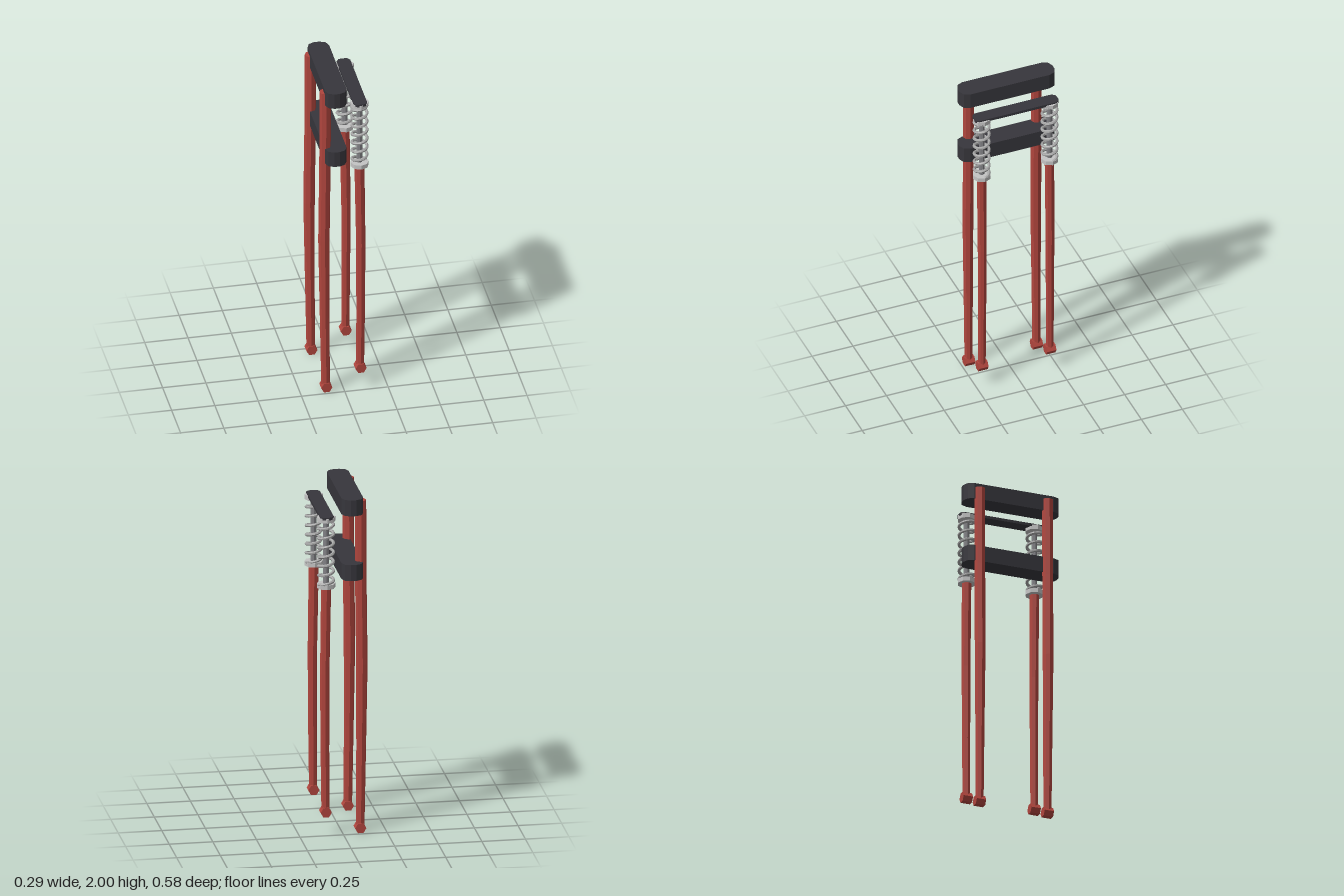
import * as THREE from 'three';

const mat = (name, color) => {
  const m = new THREE.MeshStandardMaterial({ color, flatShading: true });
  m.name = name;
  return m;
};

// Helix that rises along y
class Helix extends THREE.Curve {
  constructor(radius, height, turns) {
    super();
    Object.assign(this, { radius, height, turns });
  }
  getPoint(t, target = new THREE.Vector3()) {
    const a = t * this.turns * Math.PI * 2;
    return target.set(Math.cos(a) * this.radius, t * this.height, -Math.sin(a) * this.radius);
  }
}

export function createModel() {
  const red = mat('red paint', 0xb0453d);
  const dark = mat('dark metal', 0x37363c);
  const silver = mat('silver', 0xc4c4c4);
  const steel = mat('spring steel', 0xa6a6a6);
  const grey = mat('grey rod', 0x828286);
  const model = new THREE.Group();

  const add = (name, geo, material, x, y, z, parent = model) => {
    const mesh = new THREE.Mesh(geo, material);
    mesh.name = name;
    mesh.position.set(x, y, z);
    parent.add(mesh);
    return mesh;
  };

  // Slightly bowed, tapering tube; each station is [x, y, radius]
  const legGeometry = (stations) => {
    const geo = new THREE.CylinderGeometry(1, 1, 1, 8, stations.length - 1);
    const p = geo.attributes.position;
    for (let i = 0; i < p.count; i++) {
      const k = Math.round((p.getY(i) + 0.5) * (stations.length - 1));
      const [x, y, r] = stations[k];
      p.setXYZ(i, x + p.getX(i) * r, y, p.getZ(i) * r);
    }
    geo.computeVertexNormals();
    return geo;
  };

  // Flat bar with chamfered, rounded ends, bottom at y = 0
  const barGeometry = (halfW, halfL, height, inner, mid, midDrop, endDrop) => {
    const corner = [[halfW, halfL - endDrop], [mid, halfL - midDrop], [inner, halfL]];
    const flip = (sx, sz, list) => list.map(([x, z]) => new THREE.Vector2(x * sx, z * sz));
    const back = [...corner].reverse();
    const shape = new THREE.Shape([
      ...flip(1, 1, corner), ...flip(-1, 1, back),
      ...flip(-1, -1, corner), ...flip(1, -1, back),
    ]);
    return new THREE.ExtrudeGeometry(shape, { depth: height, bevelEnabled: false }).rotateX(-Math.PI / 2);
  };

  // Two clamps and the thin spring bridge
  const clamp = barGeometry(0.062, 0.29, 0.095, 0.016, 0.048, 0.014, 0.048);
  add('upperClamp', clamp, dark, -0.051, 1.905, 0);
  add('lowerClamp', clamp, dark, -0.051, 1.52, 0);
  add('springBridge', barGeometry(0.039, 0.256, 0.016, 0.014, 0.027, 0.004, 0.022), dark, 0.0925, 1.877, 0);

  // Shared side parts
  const rearLeg = legGeometry([
    [-0.102, 0.03, 0.025], [-0.108, 0.5, 0.028], [-0.112, 1.0, 0.033],
    [-0.106, 1.5, 0.033], [-0.104, 1.975, 0.033],
  ]);
  const frontLeg = legGeometry([
    [0.097, 0.13, 0.023], [0.1, 0.5, 0.025], [0.101, 0.95, 0.027], [0.093, 1.468, 0.029],
  ]);
  // Hexagonal pivot, axis along z, points to the sides
  const pivot = new THREE.CylinderGeometry(0.032, 0.032, 0.057, 6).rotateX(Math.PI / 2).rotateZ(Math.PI / 6);
  pivot.computeBoundingBox();
  if (pivot.boundingBox.max.x < 0.03) pivot.rotateZ(Math.PI / 6);
  const collar = new THREE.CylinderGeometry(0.053, 0.053, 0.026, 8);
  const rod = new THREE.CylinderGeometry(0.017, 0.017, 0.42, 8);
  const coil = new THREE.TubeGeometry(new Helix(0.043, 0.385, 7), 112, 0.009, 6);

  for (const side of [-1, 1]) {
    const z = side * 0.207;
    const end = side > 0 ? 'Front' : 'Back';
    add('rearLeg' + end, rearLeg, red, 0, 0, z);
    add('rearPivot' + end, pivot, red, -0.101, 0.028, z);
    add('frontLeg' + end, frontLeg, red, 0, 0, z);
    add('frontPivot' + end, pivot, red, 0.097, 0.132, z);

    const spring = new THREE.Group();
    spring.name = 'springUnit' + end;
    spring.position.set(0.0935, 0, z);
    model.add(spring);
    add('lowerCollar', collar, silver, 0, 1.477, 0, spring);
    add('upperCollar', collar, silver, 0, 1.872, 0, spring);
    add('springRod', rod, grey, 0, 1.675, 0, spring);
    add('coil', coil, steel, 0, 1.482, 0, spring);
  }
  return model;
}
